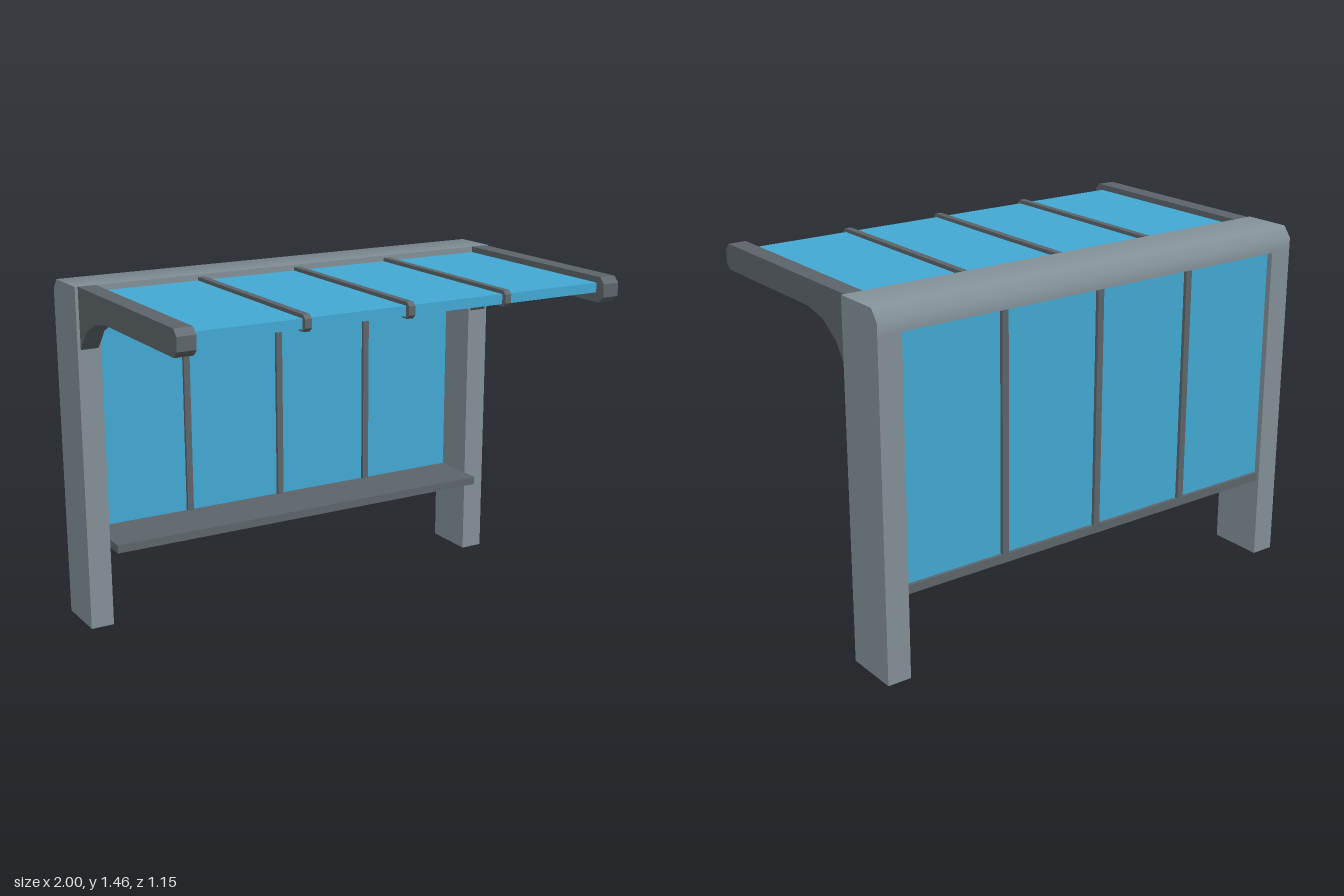
import * as THREE from 'three';

const mat = (name, color, side = THREE.FrontSide) => {
  const m = new THREE.MeshStandardMaterial({ color, side });
  m.name = name;
  return m;
};

export function createModel() {
  const group = new THREE.Group();
  const frame = mat('frame grey', 0x829097, THREE.DoubleSide);
  const dark = mat('dark grey', 0x5d656a);
  const glass = mat('blue glass', 0x43a9d3);

  const add = (name, geometry, material) => {
    const mesh = new THREE.Mesh(geometry, material);
    mesh.name = name;
    group.add(mesh);
    return mesh;
  };

  // Box from its limits on each axis
  const box = (x0, x1, y0, y1, z0, z1) =>
    new THREE.BoxGeometry(x1 - x0, y1 - y0, z1 - z0)
      .translate((x0 + x1) / 2, (y0 + y1) / 2, (z0 + z1) / 2);

  // Side profile of [z, y] points, extruded along x about a centre
  const profile = (points, width, cx) => {
    const shape = new THREE.Shape(points.map(([z, y]) => new THREE.Vector2(z, y)));
    return new THREE.ExtrudeGeometry(shape, { depth: width, bevelEnabled: false })
      .rotateY(-Math.PI / 2).translate(cx + width / 2, 0, 0);
  };

  const BACK = -0.575, FRONT = -0.34, TOP = 1.455, HEAD = 1.36;

  // Top beam, softly shaded over its rear chamfer
  const beam = profile([[FRONT, HEAD], [FRONT, TOP], [-0.54, TOP], [BACK, 1.41], [BACK, HEAD]], 2, 0);
  const pos = beam.attributes.position, nor = beam.attributes.normal;
  for (let i = 0; i < pos.count; i++) {
    if (Math.abs(nor.getX(i)) > 0.5) continue;
    const y = pos.getY(i), z = pos.getZ(i);
    if (y > 1.45 && z < -0.5) nor.setXYZ(i, 0, 0.92, -0.39);
    else if (Math.abs(y - 1.41) < 0.005) nor.setXYZ(i, 0, 0.32, -0.95);
  }
  add('topBeam', beam, frame);

  // Hollow posts, open at top and bottom, and the roof arms with curved brackets
  for (const s of [-1, 1]) {
    const post = box(s * 0.95 - 0.05, s * 0.95 + 0.05, 0, HEAD, BACK, FRONT);
    const index = Array.from(post.index.array);
    index.splice(12, 12);
    post.setIndex(index);
    post.clearGroups();
    add(s > 0 ? 'leftPost' : 'rightPost', post, frame);

    const foot = s > 0 ? 1.16 : 1.2;
    const drop = (t) => 1.35 - t * (1.35 - foot);
    add(s > 0 ? 'leftRoofArm' : 'rightRoofArm', profile([
      [FRONT, TOP], [FRONT, foot], [-0.27, drop(0.45)], [-0.18, drop(0.13)], [-0.07, 1.35],
      [0.55, 1.35], [0.575, 1.375], [0.575, 1.43], [0.55, TOP],
    ], 0.076, s * 0.949), dark);
  }

  // Glazing
  add('backGlass', box(-0.9, 0.9, 0.38, HEAD, -0.55, -0.52), glass);
  add('roofGlass', box(-0.911, 0.911, 1.39, 1.43, FRONT, 0.53), glass);

  // Bench shelf
  add('bench', box(-0.9, 0.9, 0.345, 0.38, -0.565, -0.26), dark);

  // Bars dividing the back wall and the roof
  for (const x of [-0.45, 0, 0.45]) {
    add('wallBar', box(x - 0.014, x + 0.014, 0.38, HEAD, -0.565, -0.505), dark);
    add('roofBar', profile([
      [FRONT, 1.38], [0.535, 1.38], [0.55, 1.395], [0.55, 1.43], [0.535, 1.445], [FRONT, 1.445],
    ], 0.028, x), dark);
  }
  return group;
}
